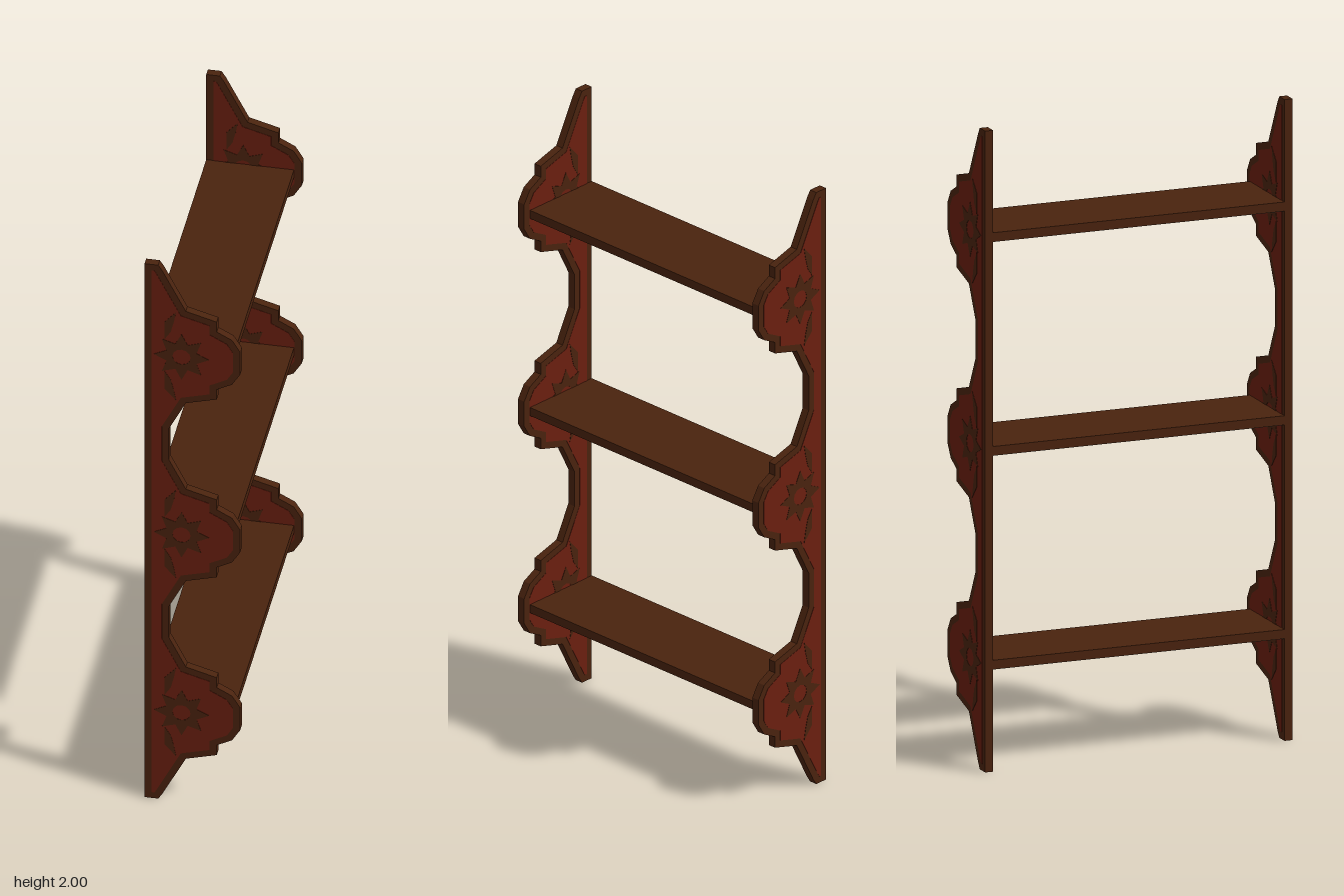
import * as THREE from 'three';

const CENTERS = [1 / 3, 1, 5 / 3];

// Half profile of one scalloped lobe: [x, distance above the lobe centre]
const LOBE = [[-0.02, 0.172], [0.075, 0.145], [0.075, 0.108], [0.122, 0.083], [0.147, 0.042]];

function outlinePoints() {
  const pts = [[-0.147, 0], [-0.105, 0], [-0.092, 0.02]];
  CENTERS.forEach((c, i) => {
    LOBE.forEach(([x, d]) => pts.push([x, c - d]));
    [...LOBE].reverse().forEach(([x, d]) => pts.push([x, c + d]));
    // narrow neck up to the next lobe
    if (i < 2) pts.push([-0.072, c + 0.275], [-0.072, c + 0.392]);
  });
  pts.push([-0.092, 1.98], [-0.105, 2], [-0.147, 2]);
  return pts.map(([x, y]) => new THREE.Vector2(x, y));
}

// Mitred inset of a counter-clockwise outline
function inset(pts, amount) {
  const n = pts.length;
  const normal = (a, b) => new THREE.Vector2(a.y - b.y, b.x - a.x).normalize();
  return pts.map((p, i) => {
    const n1 = normal(pts[(i + n - 1) % n], p);
    const n2 = normal(p, pts[(i + 1) % n]);
    return n1.clone().add(n2).multiplyScalar(amount / (1 + n1.dot(n2))).add(p);
  });
}

// Flat piece centred on z = 0
function slab(shape, depth) {
  const geo = new THREE.ExtrudeGeometry(shape, { depth, bevelEnabled: false, curveSegments: 6 });
  return geo.translate(0, 0, -depth / 2);
}

// Eight-pointed rosette with a round opening
function rosetteShape(y) {
  const pts = [];
  for (let i = 0; i < 16; i++) {
    const a = (i / 16) * Math.PI * 2;
    const r = i % 2 ? 0.05 : 0.085;
    pts.push(new THREE.Vector2(-0.033 + r * Math.cos(a), y + r * Math.sin(a)));
  }
  const shape = new THREE.Shape(pts);
  shape.holes.push(new THREE.Path().absarc(-0.033, y, 0.028, 0, Math.PI * 2, true));
  return shape;
}

// Curved leaf beside the rosette, above (s = 1) or below (s = -1)
function leafShape(y, s) {
  const pts = [[-0.05, 0.165], [-0.085, 0.125], [-0.085, 0.06], [-0.066, 0.09], [-0.056, 0.13]];
  return new THREE.Shape(pts.map(([x, d]) => new THREE.Vector2(x, y + s * d)));
}

export function createModel() {
  const brown = new THREE.MeshStandardMaterial({ color: 0x4a230e });
  brown.name = 'dark brown wood';
  const red = new THREE.MeshStandardMaterial({ color: 0x6b1f10 });
  red.name = 'red inlay';
  const grey = new THREE.MeshStandardMaterial({ color: 0x4a443e });
  grey.name = 'grey underside';

  const model = new THREE.Group();
  model.name = 'shelfUnit';
  const add = (parent, geo, mat, name) => {
    const mesh = new THREE.Mesh(geo, mat);
    mesh.name = name;
    parent.add(mesh);
    return mesh;
  };

  // Scalloped end panels, decorated on both faces
  const outline = outlinePoints();
  const panelGeo = slab(new THREE.Shape(outline), 0.026);
  const inlayGeo = slab(new THREE.Shape(inset(outline, 0.022)), 0.028);
  const ornaments = CENTERS.flatMap((y) => [
    ['rosette', slab(rosetteShape(y), 0.03)],
    ['upperLeaf', slab(leafShape(y, 1), 0.03)],
    ['lowerLeaf', slab(leafShape(y, -1), 0.03)],
  ]);
  for (const side of [1, -1]) {
    const panel = new THREE.Group();
    panel.name = side > 0 ? 'frontEndPanel' : 'backEndPanel';
    panel.position.z = side * 0.49;
    add(panel, panelGeo, brown, 'panelBoard');
    add(panel, inlayGeo, red, 'panelInlay');
    ornaments.forEach(([name, geo]) => add(panel, geo, brown, name));
    model.add(panel);
  }

  // Shelves with a grey plate set under each board
  for (const y of CENTERS) {
    const shelf = new THREE.Group();
    shelf.name = 'shelf';
    shelf.position.set(-0.012, y, 0);
    add(shelf, new THREE.BoxGeometry(0.27, 0.028, 0.956), brown, 'shelfBoard');
    add(shelf, new THREE.BoxGeometry(0.262, 0.003, 0.95), grey, 'shelfUnderside').position.y = -0.0145;
    model.add(shelf);
  }
  return model;
}
